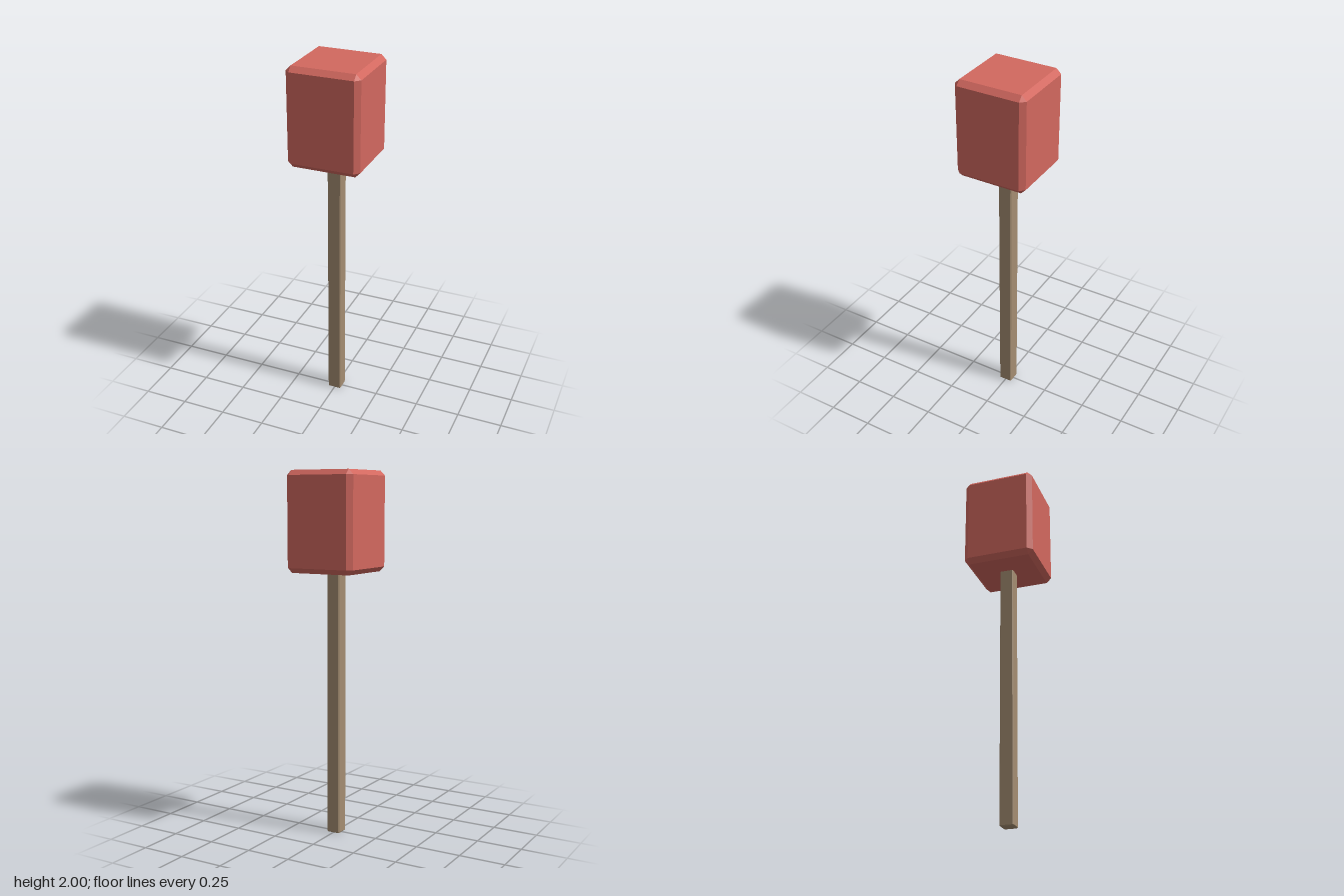
import * as THREE from 'three';
import { ConvexGeometry } from 'three/addons/geometries/ConvexGeometry.js';

// Box with flat chamfers on every edge and small triangles at the corners
function chamferedBox(width, height, depth, bevel) {
  const half = [width / 2, height / 2, depth / 2];
  const points = [];
  for (const sx of [-1, 1]) for (const sy of [-1, 1]) for (const sz of [-1, 1]) {
    for (let axis = 0; axis < 3; axis++) {
      const [x, y, z] = half.map((h, i) => (i === axis ? h : h - bevel));
      points.push(new THREE.Vector3(sx * x, sy * y, sz * z));
    }
  }
  return new ConvexGeometry(points);
}

export function createModel() {
  const model = new THREE.Group();
  model.name = 'mallet';

  const red = new THREE.MeshStandardMaterial({ color: 0xd2685f });
  red.name = 'red';
  const wood = new THREE.MeshStandardMaterial({ color: 0xa48d71 });
  wood.name = 'wood';

  const addPart = (name, material, width, bottom, top, bevel) => {
    const mesh = new THREE.Mesh(chamferedBox(width, top - bottom, width, bevel), material);
    mesh.name = name;
    mesh.position.y = (bottom + top) / 2;
    model.add(mesh);
  };

  // Square handle, ending just inside the head
  addPart('handle', wood, 0.076, 0, 1.48, 0.005);
  // Block head
  addPart('head', red, 0.4, 1.46, 2, 0.027);

  return model;
}
